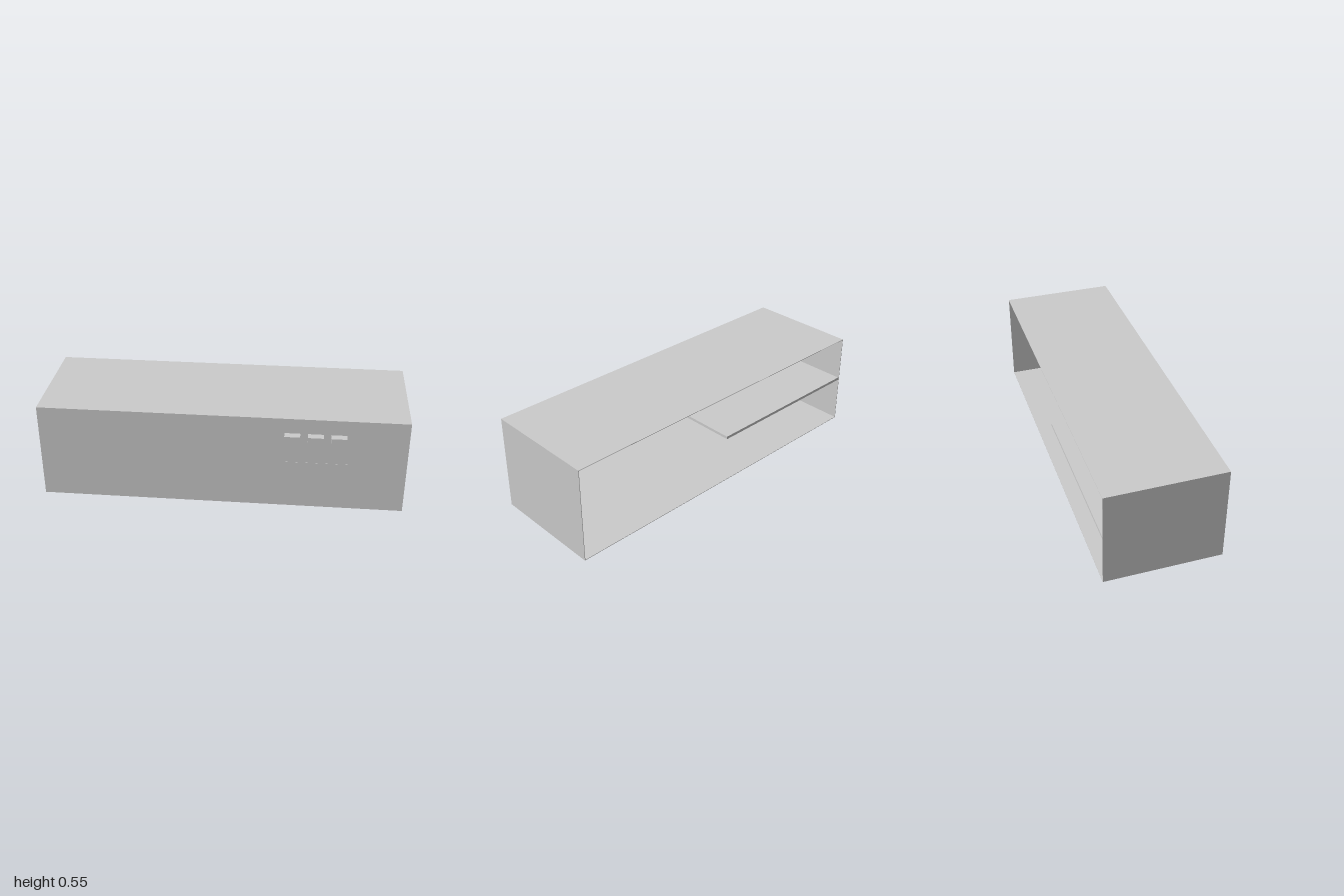
import * as THREE from 'three';

const material = new THREE.MeshStandardMaterial({ color: 0xcccccc, flatShading: true });

export function createModel() {
  const group = new THREE.Group();

  function add(name, geometry, x = 0, y = 0, z = 0) {
    const mesh = new THREE.Mesh(geometry, material);
    mesh.name = name;
    mesh.position.set(x, y, z);
    group.add(mesh);
    return mesh;
  }

  // Box given by its lower and upper corners
  function block(name, [x0, y0, z0], [x1, y1, z1]) {
    const geometry = new THREE.BoxGeometry(x1 - x0, y1 - y0, z1 - z0);
    return add(name, geometry, (x0 + x1) / 2, (y0 + y1) / 2, (z0 + z1) / 2);
  }

  // Thin counter shell, open at the back
  const top = 0.545, front = 0.3, back = -0.342, t = 0.003;
  block('floorPanel', [-1, 0, back], [1, t, front]);
  block('topPanel', [-1, top - t, back], [1, top, front]);
  block('frontPanel', [-1, t, front - t], [1, top - t, front]);
  for (const [name, x] of [['rightPanel', -1], ['leftPanel', 1 - t]]) {
    block(name, [x, t, back], [x + t, top - t, front - t]);
  }

  // Inner shelf over half of the width
  block('shelf', [-1 + t, 0.268, back + 0.005], [-0.015, 0.284, front - t]);

  // Three buttons on the front
  for (const x of [0.382, 0.507, 0.63]) {
    block('button', [x - 0.042, 0.415, front], [x + 0.042, 0.459, 0.342]);
  }

  // Narrow strip flush with the front
  block('slotStrip', [0.31, 0.279, front - 0.02], [0.71, 0.281, front + 0.001]);

  // Bent rod and small round fitting under the top
  const path = new THREE.CurvePath();
  const points = [[0.71, 0.5], [0.31, 0.5], [0.29, 0.53], [0.26, 0.51]]
    .map(([x, y]) => new THREE.Vector3(x, y, 0.2));
  for (let i = 1; i < points.length; i++) path.add(new THREE.LineCurve3(points[i - 1], points[i]));
  add('bentRod', new THREE.TubeGeometry(path, 30, 0.008, 6));

  add('fittingRing', new THREE.TorusGeometry(0.028, 0.007, 6, 16), 0.18, 0.51, front - 0.015);
  add('fittingHub', new THREE.CylinderGeometry(0.014, 0.014, 0.03, 12), 0.18, 0.51, front - 0.018)
    .rotation.x = Math.PI / 2;

  return group;
}
